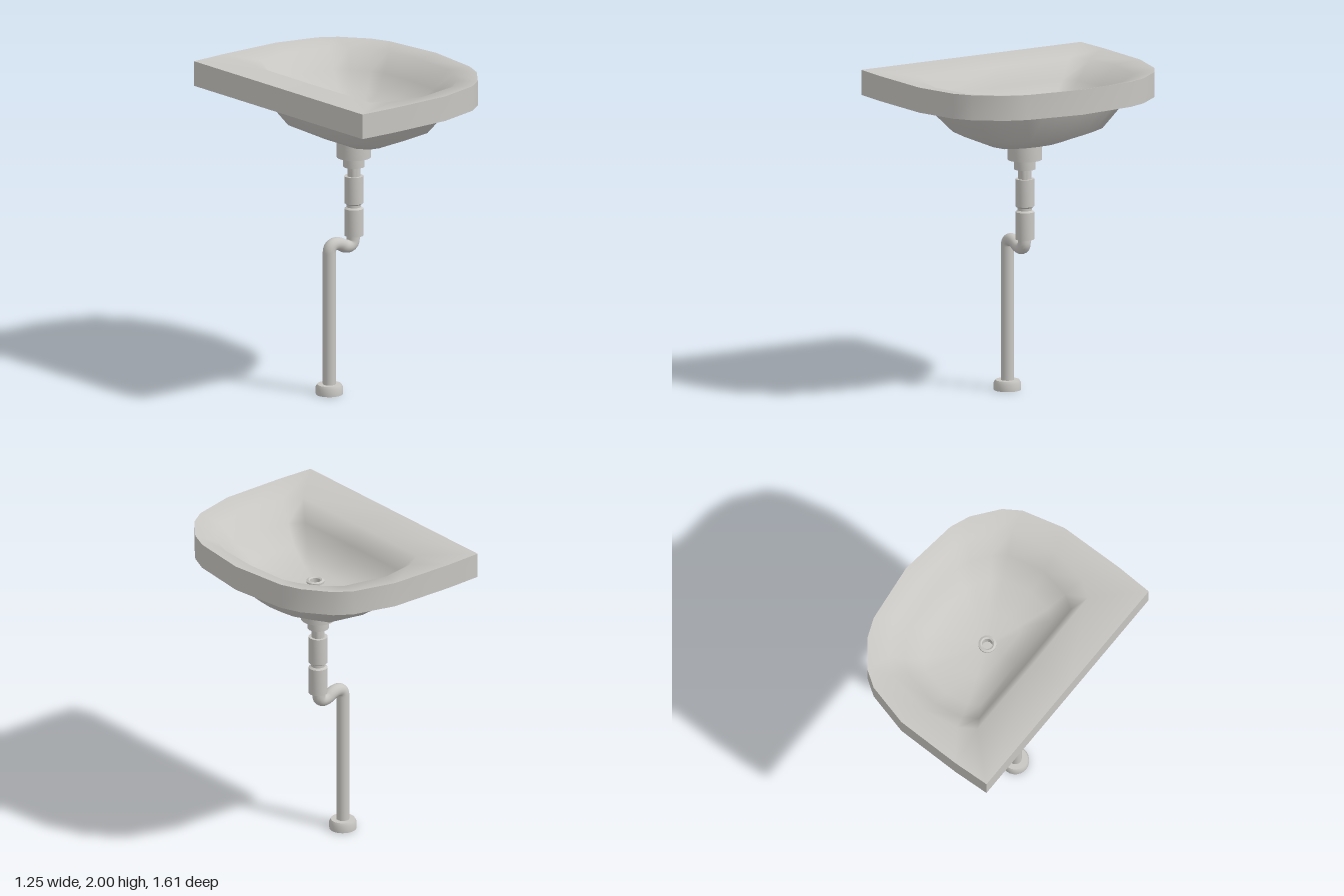
import * as THREE from 'three';
import { toCreasedNormals } from 'three/addons/utils/BufferGeometryUtils.js';

const ceramic = new THREE.MeshStandardMaterial({ color: 0xc8c6c2 });
ceramic.name = 'light grey';

// Half plans as [x, z], from the middle of the straight edge round to the opposite side
const OUTER = [[-0.625, 0], [-0.625, 0.795], [-0.39, 0.805], [0.03, 0.8], [0.3, 0.73],
  [0.405, 0.66], [0.53, 0.5], [0.58, 0.375], [0.625, 0]];
const LIP = [[-0.36, 0], [-0.355, 0.54], [-0.25, 0.61], [-0.02, 0.65], [0.27, 0.59],
  [0.36, 0.51], [0.45, 0.38], [0.49, 0.28], [0.51, 0]];
const BOWL = [[-0.43, 0], [-0.43, 0.4], [-0.26, 0.6], [-0.03, 0.64], [0.27, 0.575],
  [0.35, 0.43], [0.42, 0.28], [0.44, 0.14], [0.45, 0]];

// Mirror a half plan into a closed ring at height y
function ring(half, y, sx = 1, sz = sx, dx = 0) {
  const other = half.slice(1, -1).reverse().map(([x, z]) => [x, -z]);
  return [...half, ...other].map(([x, z]) => [x * sx + dx, y, z * sz]);
}

// Small round ring whose points follow the directions of the lip
function roundRing(r, y, x0 = 0) {
  return ring(LIP, y).map(([x, , z]) => {
    const a = Math.atan2(z, x);
    return [x0 + r * Math.cos(a), y, r * Math.sin(a)];
  });
}

// Skin between successive rings
function loft(rings) {
  const n = rings[0].length, index = [];
  for (let k = 0; k < rings.length - 1; k++) {
    for (let i = 0; i < n; i++) {
      const a = k * n + i, b = k * n + (i + 1) % n;
      index.push(a, b, b + n, a, b + n, a + n);
    }
  }
  const g = new THREE.BufferGeometry();
  g.setAttribute('position', new THREE.Float32BufferAttribute(rings.flat(2), 3));
  g.setIndex(index);
  g.computeVertexNormals();
  return g;
}

function turned(points, x, segments = 24) {
  const g = new THREE.LatheGeometry(points.map(([r, y]) => new THREE.Vector2(r, y)), segments);
  return toCreasedNormals(g, 0.6).translate(x, 0, 0);
}

export function createModel() {
  const model = new THREE.Group();
  model.name = 'washbasin';
  const add = (parent, name, geometry) => {
    const mesh = new THREE.Mesh(geometry, ceramic);
    mesh.name = name;
    parent.add(mesh);
  };

  // Basin: dished top, upright edge, flat underside and hanging bowl
  const basin = new THREE.Group();
  basin.name = 'basin';
  model.add(basin);
  add(basin, 'dishedTop', loft([
    ring(OUTER, 2), ring(LIP, 1.975), ring(LIP, 1.86, 0.83, 0.83),
    ring(LIP, 1.76, 0.64, 0.64), ring(LIP, 1.72, 0.33, 0.33), roundRing(0.05, 1.71),
  ]));
  add(basin, 'edgeBand', toCreasedNormals(loft([ring(OUTER, 1.845), ring(OUTER, 2)]), 0.7));
  add(basin, 'undersideLedge', loft([ring(BOWL, 1.845), ring(OUTER, 1.845)]));
  add(basin, 'bowlUnderside', loft([
    roundRing(0.002, 1.56), ring(BOWL, 1.56, 0.29, 0.36, -0.01),
    ring(BOWL, 1.65, 0.76, 0.7, 0.016), ring(BOWL, 1.845),
  ]));

  // Drain ring with a sunken hole
  add(basin, 'drain', turned([
    [0, 1.67], [0.033, 1.67], [0.033, 1.722], [0.042, 1.728], [0.055, 1.722], [0.055, 1.69],
  ].reverse(), -0.003));

  // Stepped waste fitting with two couplings
  const plumbing = new THREE.Group();
  plumbing.name = 'plumbing';
  model.add(plumbing);
  add(plumbing, 'wasteFitting', turned([
    [0, 0.965], [0.058, 0.965], [0.058, 1.135], [0.044, 1.145], [0.044, 1.16],
    [0.058, 1.17], [0.058, 1.34], [0.04, 1.34], [0.04, 1.4], [0.066, 1.4],
    [0.066, 1.46], [0.105, 1.46], [0.105, 1.565],
  ], -0.025));

  // Offset bend and long drop pipe
  const path = new THREE.CurvePath();
  const v = (x, y) => new THREE.Vector3(x, y, 0);
  path.add(new THREE.LineCurve3(v(-0.03, 0.99), v(-0.03, 0.945)));
  path.add(new THREE.CubicBezierCurve3(v(-0.03, 0.945), v(-0.03, 0.9), v(-0.08, 0.895), v(-0.115, 0.918)));
  path.add(new THREE.CubicBezierCurve3(v(-0.115, 0.918), v(-0.16, 0.948), v(-0.22, 0.945), v(-0.22, 0.89)));
  path.add(new THREE.LineCurve3(v(-0.22, 0.89), v(-0.22, 0.02)));
  add(plumbing, 'drainPipe', new THREE.TubeGeometry(path, 120, 0.04, 16, false));

  // Floor collar, open underneath
  add(plumbing, 'floorCollar', turned([
    [0.035, 0.03], [0.06, 0.03], [0.06, 0], [0.083, 0], [0.083, 0.045], [0.074, 0.062], [0.035, 0.062],
  ], -0.22));

  return model;
}
